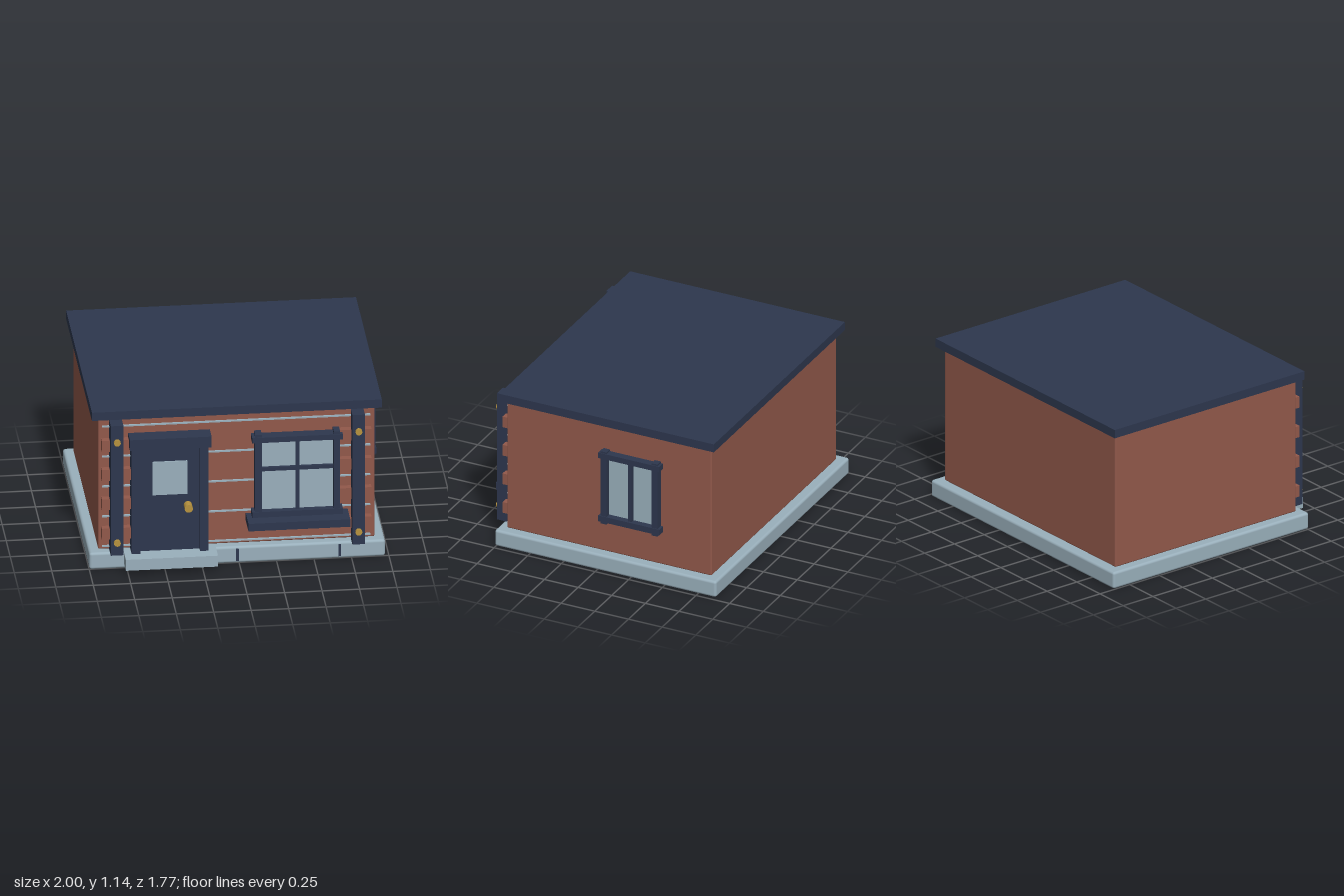
import * as THREE from 'three';
import { RoundedBoxGeometry } from 'three/addons/geometries/RoundedBoxGeometry.js';

const material = (name, color) => {
  const m = new THREE.MeshStandardMaterial({ color });
  m.name = name;
  return m;
};

export function createModel() {
  const navy = material('navy', 0x2d374e);
  const brick = material('brick', 0x92594b);
  const pale = material('pale blue grey', 0x9ab0bc);
  const brass = material('brass', 0xb8933f);

  const house = new THREE.Group();
  house.name = 'house';

  const group = (name) => {
    const g = new THREE.Group();
    g.name = name;
    house.add(g);
    return g;
  };

  // Box given by its extents; an optional radius rounds the edges
  const box = (parent, name, mat, [x0, x1], [y0, y1], [z0, z1], radius = 0) => {
    const size = [x1 - x0, y1 - y0, z1 - z0];
    const geo = radius
      ? new RoundedBoxGeometry(...size, 2, radius)
      : new THREE.BoxGeometry(...size);
    const mesh = new THREE.Mesh(geo, mat);
    mesh.name = name;
    mesh.position.set((x0 + x1) / 2, (y0 + y1) / 2, (z0 + z1) / 2);
    parent.add(mesh);
    return mesh;
  };

  // Round brass fitting pointing forwards
  const stud = (parent, name, x, y, z0, z1, r) => {
    const geo = new THREE.CylinderGeometry(r, r, z1 - z0, 12).rotateX(Math.PI / 2);
    const mesh = new THREE.Mesh(geo, brass);
    mesh.name = name;
    mesh.position.set(x, y, (z0 + z1) / 2);
    parent.add(mesh);
  };

  // Main masses
  box(house, 'foundation', pale, [-1, 0.975], [0, 0.12], [-0.885, 0.76], 0.018);
  box(house, 'walls', brick, [-0.935, 0.91], [0.12, 1.08], [-0.82, 0.7], 0.01);
  box(house, 'roof', navy, [-0.98, 0.955], [1.08, 1.14], [-0.86, 0.735]);
  box(house, 'doorStep', pale, [-0.77, -0.155], [0.04, 0.12], [0.7, 0.885]);

  // Dark joints on the front of the foundation
  for (const x of [-0.702, -0.013, 0.67])
    box(house, 'foundationJoint', navy, [x - 0.009, x + 0.009], [0.02, 0.105], [0.75, 0.77]);

  // Mortar lines across the front wall
  for (const y of [0.145, 0.363, 0.583, 0.802, 1.022])
    box(house, 'mortarLine', pale, [-0.91, 0.88], [y - 0.005, y + 0.005], [0.7, 0.713]);

  // Raised bricks at both front corners
  const corners = group('cornerBricks');
  for (const y of [0.25, 0.465, 0.68, 0.893])
    for (const x of [[-0.915, -0.7], [0.672, 0.885]])
      box(corners, 'cornerBrick', brick, x, [y - 0.04, y + 0.04], [0.7, 0.745]);

  // Posts with brass bolts
  for (const x of [-0.82, 0.792]) {
    const post = group('porchPost');
    box(post, 'post', navy, [x - 0.042, x + 0.042], [0.12, 1.07], [0.71, 0.81]);
    for (const y of [0.215, 0.95]) stud(post, 'bolt', x, y, 0.8, 0.828, 0.023);
  }

  // Door
  const door = group('door');
  box(door, 'doorPanel', navy, [-0.665, -0.263], [0.12, 0.885], [0.7, 0.76]);
  box(door, 'doorGlass', pale, [-0.58, -0.347], [0.53, 0.772], [0.75, 0.77]);
  for (const x of [[-0.722, -0.663], [-0.265, -0.208]])
    box(door, 'doorJamb', navy, x, [0.12, 0.89], [0.7, 0.8]);
  box(door, 'doorLintel', navy, [-0.735, -0.19], [0.885, 0.963], [0.7, 0.815]);
  stud(door, 'doorKnob', -0.343, 0.445, 0.755, 0.825, 0.028);

  // Front window
  const front = group('frontWindow');
  box(front, 'glass', pale, [0.13, 0.65], [0.35, 0.9], [0.7, 0.735]);
  for (const x of [[0.105, 0.15], [0.63, 0.672]])
    box(front, 'frameStile', navy, x, [0.33, 0.94], [0.7, 0.775]);
  for (const y of [[0.335, 0.375], [0.882, 0.92]])
    box(front, 'frameRail', navy, [0.085, 0.69], y, [0.7, 0.78]);
  box(front, 'verticalBar', navy, [0.377, 0.402], [0.37, 0.89], [0.72, 0.76]);
  box(front, 'horizontalBar', navy, [0.14, 0.64], [0.663, 0.688], [0.72, 0.757]);
  box(front, 'sill', navy, [0.05, 0.73], [0.28, 0.335], [0.7, 0.87]);

  // Side window on the model's left wall
  const side = group('sideWindow');
  box(side, 'glass', pale, [0.918, 0.955], [0.407, 0.88], [-0.44, -0.06]);
  for (const z of [[-0.462, -0.417], [-0.083, -0.038]])
    box(side, 'frameStile', navy, [0.945, 0.995], [0.37, 0.912], z);
  for (const y of [[0.385, 0.428], [0.86, 0.9]])
    box(side, 'frameRail', navy, [0.945, 1], y, [-0.477, -0.023]);
  box(side, 'verticalBar', navy, [0.95, 0.985], [0.42, 0.87], [-0.263, -0.237]);

  return house;
}
